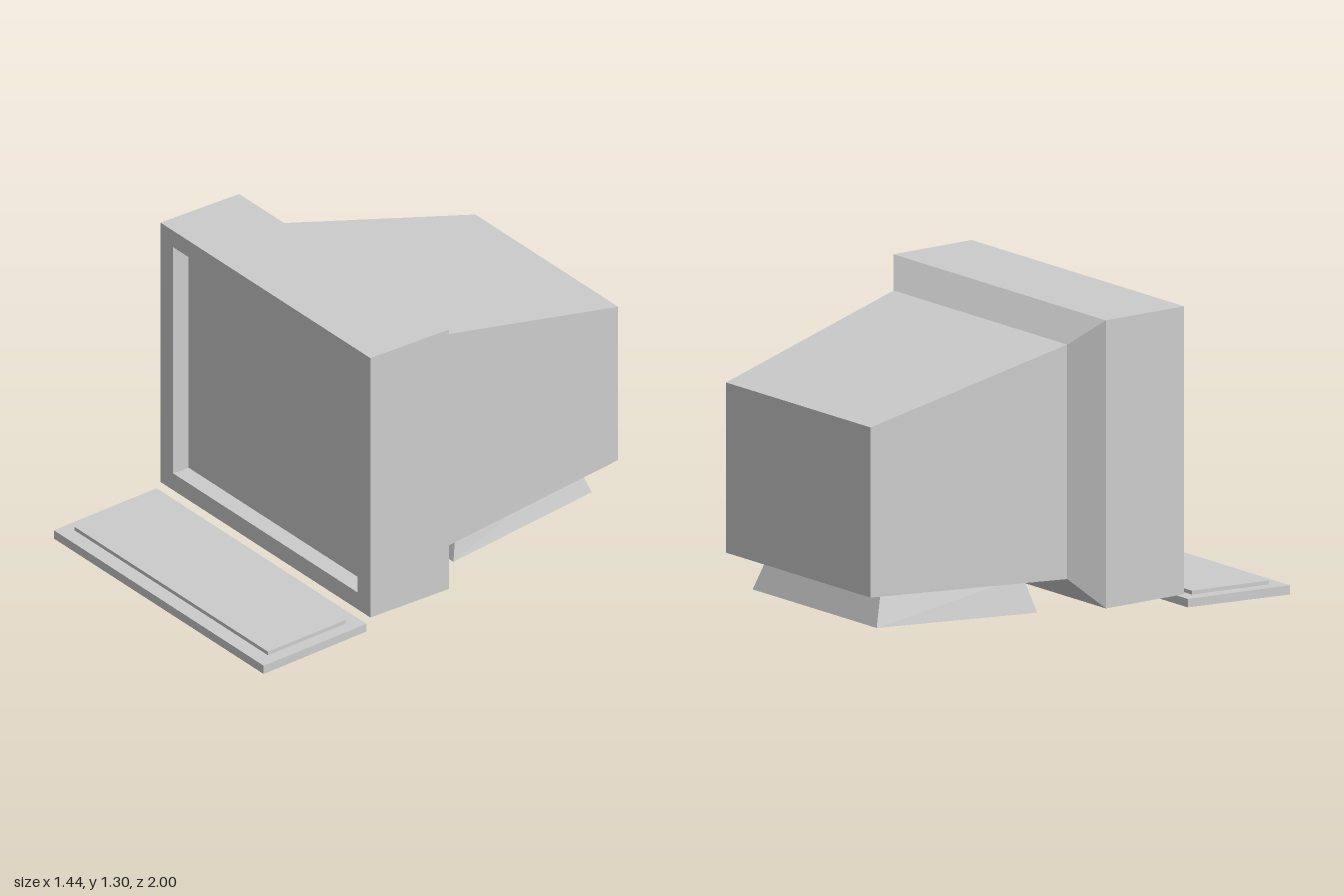
import * as THREE from 'three';

const casing = new THREE.MeshStandardMaterial({ color: 0xcccccc });
casing.name = 'casing grey';

// Four-cornered section; the top edge may differ from the bottom in width and z
function section(w, yBottom, yTop, z, wTop = w, zTop = z) {
  return [[-w, yBottom, z], [w, yBottom, z], [wTop, yTop, zTop], [-wTop, yTop, zTop]];
}

// Joins sections from front to back with flat faces, optionally capping the ends
function loft(name, sections, frontCap = true, backCap = true) {
  const positions = [];
  const quad = (a, b, c, d) => positions.push(...a, ...b, ...c, ...a, ...c, ...d);
  for (let s = 0; s < sections.length - 1; s++) {
    const a = sections[s], b = sections[s + 1];
    for (let i = 0; i < 4; i++) {
      const j = (i + 1) % 4;
      quad(a[i], b[i], b[j], a[j]);
    }
  }
  if (frontCap) quad(...sections[0]);
  if (backCap) quad(...[...sections[sections.length - 1]].reverse());
  const geometry = new THREE.BufferGeometry();
  geometry.setAttribute('position', new THREE.Float32BufferAttribute(positions, 3));
  geometry.computeVertexNormals();
  const mesh = new THREE.Mesh(geometry, casing);
  mesh.name = name;
  return mesh;
}

export function createModel() {
  const model = new THREE.Group();
  model.name = 'desktopTerminal';

  // Monitor: recessed screen, deep bezel and tapering rear housing
  const monitor = new THREE.Group();
  monitor.name = 'monitor';
  const screen = new THREE.Mesh(new THREE.PlaneGeometry(1.266, 1.066), casing);
  screen.name = 'screen';
  screen.position.set(0, 0.695, 0.37);
  monitor.add(screen);
  monitor.add(loft('bezel', [
    section(0.633, 0.162, 1.228, 0.37),
    section(0.633, 0.162, 1.228, 0.45),
    section(0.72, 0.083, 1.305, 0.45),
    section(0.72, 0.083, 1.305, 0.045),
  ], false, false));
  monitor.add(loft('rearHousing', [
    section(0.72, 0.083, 1.305, 0.045),
    section(0.588, 0.197, 1.192, -0.055),
    section(0.49, 0.24, 0.962, -1),
  ], false, true));

  // Flared foot under the housing
  monitor.add(loft('foot', [
    section(0.5, 0.05, 0.202, -0.143, 0.46, -0.187),
    section(0.42, 0.085, 0.236, -0.915, 0.38, -0.862),
  ]));
  model.add(monitor);

  // Slightly tilted keyboard with a raised key panel
  const keyboard = new THREE.Group();
  keyboard.name = 'keyboard';
  keyboard.add(loft('keyboardBase', [
    section(0.72, 0, 0.039, 1),
    section(0.72, 0.024, 0.06, 0.47),
  ]));
  keyboard.add(loft('keyPanel', [
    section(0.663, 0.035, 0.058, 0.935),
    section(0.663, 0.05, 0.074, 0.535),
  ]));
  model.add(keyboard);

  return model;
}
